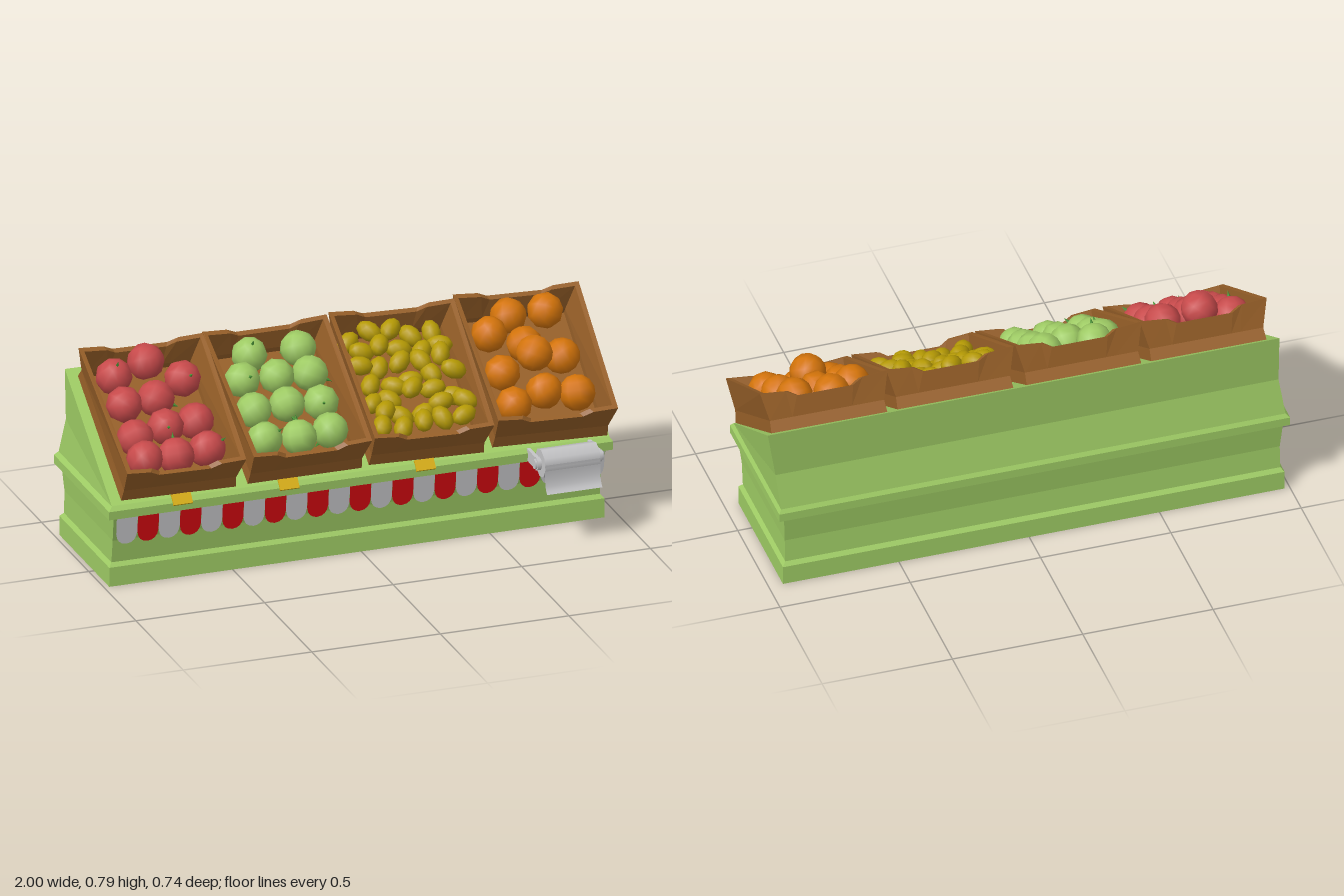
import * as THREE from 'three';

const mat = (name, color, extra = {}) => new THREE.MeshStandardMaterial({ name, color, ...extra });
const TILT = Math.atan(0.613);

// Flat-shaded skin through rings of [x, y, z], each counter-clockwise from above
function loft(rings, cap) {
  const p = [];
  const tri = (a, b, c) => p.push(...a, ...b, ...c);
  for (let k = 0; k < rings.length - 1; k++) {
    const a = rings[k], b = rings[k + 1], n = a.length;
    for (let i = 0; i < n; i++) {
      const j = (i + 1) % n;
      tri(a[i], a[j], b[j]);
      tri(a[i], b[j], b[i]);
    }
  }
  if (cap) {
    const r = rings[rings.length - 1];
    for (let i = 1; i < r.length - 1; i++) tri(r[0], r[i], r[i + 1]);
  }
  const g = new THREE.BufferGeometry();
  g.setAttribute('position', new THREE.Float32BufferAttribute(p, 3));
  g.computeVertexNormals();
  return g;
}

const ball = r => new THREE.SphereGeometry(r, 9, 7);

export function createModel() {
  const root = new THREE.Group();
  root.name = 'marketStand';
  const D = { side: THREE.DoubleSide };
  const green = mat('stand and apple green', 0x9ecb64, D), wood = mat('crate wood', 0x965f28, D);
  const red = mat('apple red', 0xc84a4b), black = mat('underside black', 0x050505);
  const yellow = mat('lemon yellow', 0xb59a04), orange = mat('orange', 0xd4740a);
  const cloth = mat('cloth red', 0xd00810, D), grey = mat('light grey', 0xc4c4c6, D);
  const gold = mat('tag gold', 0xd6ac10), leaf = mat('stem green', 0x4f9a3a);
  const add = (parent, name, geo, m, x = 0, y = 0, z = 0) => {
    const o = new THREE.Mesh(geo, m);
    o.name = name;
    o.position.set(x, y, z);
    parent.add(o);
    return o;
  };

  // Stand body: [y, front z, back z, left x, right x], open underneath
  const ring = ([y, zf, zb, x0, x1]) => [[x0, y, zf], [x1, y, zf], [x1, y, zb], [x0, y, zb]];
  const levels = [
    [0, 0.163, -0.366, -0.98, 0.945], [0.075, 0.163, -0.366, -0.98, 0.945],
    [0.09, 0.15, -0.353, -0.967, 0.932], [0.18, 0.163, -0.347, -0.967, 0.932],
    [0.277, 0.195, -0.358, -0.975, 0.938], [0.285, 0.214, -0.37, -1, 0.96],
    [0.318, 0.216, -0.37, -1, 0.96], [0.333, 0.203, -0.36, -0.985, 0.95],
  ].map(ring);
  levels.push([[-0.985, 0.334, 0.202], [0.95, 0.334, 0.202], [0.962, 0.47, -0.33], [-0.968, 0.47, -0.33]]);
  levels.push([[-0.985, 0.335, 0.201], [0.95, 0.335, 0.201], [0.995, 0.663, -0.341], [-0.968, 0.663, -0.341]]);
  add(root, 'standBody', loft(levels, true), green);

  // Scalloped cloth fringe
  const s = new THREE.Shape();
  s.moveTo(-0.041, 0);
  s.lineTo(-0.041, -0.07);
  s.quadraticCurveTo(-0.037, -0.112, 0, -0.114);
  s.quadraticCurveTo(0.037, -0.112, 0.041, -0.07);
  s.lineTo(0.041, 0);
  const scallop = new THREE.ShapeGeometry(s, 4);
  for (let i = 0; i < 23; i++) {
    const m = add(root, 'fringeScallop', scallop, i % 2 ? cloth : grey, -0.925 + i * 0.0825, 0.288, 0.205);
    m.rotation.x = 0.1;
  }

  // Price tags lying on the ledge
  for (const x of [-0.715, -0.3, 0.23]) {
    const m = add(root, 'priceTag', new THREE.BoxGeometry(0.075, 0.042, 0.009), gold, x, 0.328, 0.21);
    m.rotation.x = -0.71;
  }

  // Crates: flared walls, notched front and back rims
  const steps = [[0, 0], [0.2, -0.008], [0.28, -0.03], [0.72, -0.03], [0.8, -0.008], [1, 0]];
  const crateRing = (hf, hb, zf, zb, yf, yb, notch) => [
    ...steps.map(([t, d]) => [-hf + 2 * hf * t, yf + d * notch, zf]),
    ...steps.map(([t, d]) => [hb - 2 * hb * t, yb + d * notch, -zb]),
  ];
  const crateGeo = loft([
    crateRing(0.222, 0.22, 0.289, 0.289, 0, 0, 0), crateRing(0.217, 0.217, 0.279, 0.281, 0.05, 0.045, 0),
    crateRing(0.23, 0.242, 0.291, 0.305, 0.17, 0.152, 1), crateRing(0.212, 0.224, 0.273, 0.287, 0.168, 0.15, 1),
    crateRing(0.2, 0.2, 0.262, 0.265, 0.05, 0.045, 0), crateRing(0.2, 0.2, 0.262, 0.265, 0.02, 0.02, 0),
  ], true);
  const underside = new THREE.PlaneGeometry(0.46, 0.55).rotateX(Math.PI / 2);
  const crates = [[-0.715, -0.02], [-0.23, 0], [0.253, -0.035], [0.735, -0.04]].map(([x, yaw]) => {
    const g = new THREE.Group();
    g.name = 'crate';
    g.position.set(x, 0.49, -0.058);
    g.rotation.x = TILT;
    root.add(g);
    add(g, 'crateWalls', crateGeo, wood).rotation.y = yaw;
    add(g, 'crateUnderside', underside, black, 0, -0.008, 0);
    return g;
  });

  // Fruit placed by x, z on the plan and height above the crate floor
  const place = (crate, name, geo, m, x, z, n) => {
    const lz = (z + 0.058 - Math.sin(TILT) * n) / Math.cos(TILT);
    return add(crate, name, geo, m, x - crate.position.x, n, lz);
  };
  const stemGeo = new THREE.ConeGeometry(0.011, 0.035, 4);
  const fill = (crate, name, r, m, spots, stems) => {
    const geo = ball(r);
    spots.forEach(([x, z, n = 0.105], i) => {
      const f = place(crate, name, geo, m, x, z, n);
      f.rotation.set(i * 1.3, i * 0.7, i * 2.1);
      if (stems) add(f, 'stem', stemGeo, leaf, 0, r + 0.002, 0);
    });
  };
  fill(crates[0], 'redApple', 0.069, red, [
    [-0.84, -0.17], [-0.72, -0.16, 0.15], [-0.595, -0.11, 0.12], [-0.84, -0.06], [-0.72, -0.05, 0.12],
    [-0.6, 0.04], [-0.845, 0.07], [-0.72, 0.05, 0.11], [-0.595, 0.15], [-0.72, 0.16], [-0.84, 0.155],
  ], true);
  fill(crates[1], 'greenApple', 0.067, green, [
    [-0.31, -0.18], [-0.12, -0.18], [-0.37, -0.09], [-0.24, -0.08, 0.11], [-0.11, -0.08], [-0.37, 0.03],
    [-0.24, 0.03, 0.11], [-0.11, 0.035], [-0.37, 0.145], [-0.24, 0.155], [-0.115, 0.145],
  ], true);
  fill(crates[3], 'orangeFruit', 0.068, orange, [
    [0.6, -0.12, 0.115], [0.7, -0.19], [0.84, -0.18, 0.115], [0.6, 0.02], [0.72, 0.035, 0.17],
    [0.84, 0, 0.115], [0.72, -0.07, 0.11], [0.6, 0.145], [0.73, 0.11], [0.845, 0.145, 0.115],
  ], false);

  // Lemons heaped in staggered rows
  let seed = 7;
  const rnd = () => (seed = (seed * 16807) % 2147483647) / 2147483647;
  const lemonGeo = ball(0.036).scale(1.4, 1, 1);
  for (let r = 0; r < 7; r++) {
    for (let c = 0; c < 5; c++) {
      const x = 0.083 + c * 0.077 + (r % 2) * 0.02 + (rnd() - 0.5) * 0.02;
      const f = place(crates[2], 'lemon', lemonGeo, yellow, x, -0.19 + r * 0.06 + (rnd() - 0.5) * 0.02, 0.085 + rnd() * 0.04);
      f.rotation.set(0, rnd() * 3.1, (rnd() - 0.5) * 0.6);
    }
  }

  // Paper roll on a bracket
  const holder = new THREE.Group();
  holder.name = 'paperRollHolder';
  holder.position.set(0.753, 0.31, 0.3);
  root.add(holder);
  const rod = (name, r, len, x = 0) => {
    const g = new THREE.CylinderGeometry(r, r, len, 8).rotateZ(Math.PI / 2);
    return add(holder, name, g, grey, x);
  };
  rod('paperRoll', 0.055, 0.215).rotation.x = 0.15;
  rod('rollShaft', 0.02, 0.265);
  for (const x of [-0.118, 0.118]) {
    rod('bracketEnd', 0.026, 0.014, x);
    add(holder, 'bracketArm', new THREE.BoxGeometry(0.014, 0.046, 0.1), grey, x, 0, -0.05);
  }

  // Loose paper end curling outward
  const sheet = new THREE.PlaneGeometry(0.215, 1, 1, 5);
  const path = new THREE.CatmullRomCurve3([[0, 0.01, 0.053], [0, -0.04, 0.05], [0, -0.08, 0.058], [0, -0.098, 0.073]]
    .map(p => new THREE.Vector3(...p)));
  const pos = sheet.attributes.position;
  for (let i = 0; i < pos.count; i++) {
    const q = path.getPoint(0.5 - pos.getY(i));
    pos.setXYZ(i, pos.getX(i), q.y, q.z);
  }
  sheet.computeVertexNormals();
  add(holder, 'paperSheet', sheet, grey);

  return root;
}
